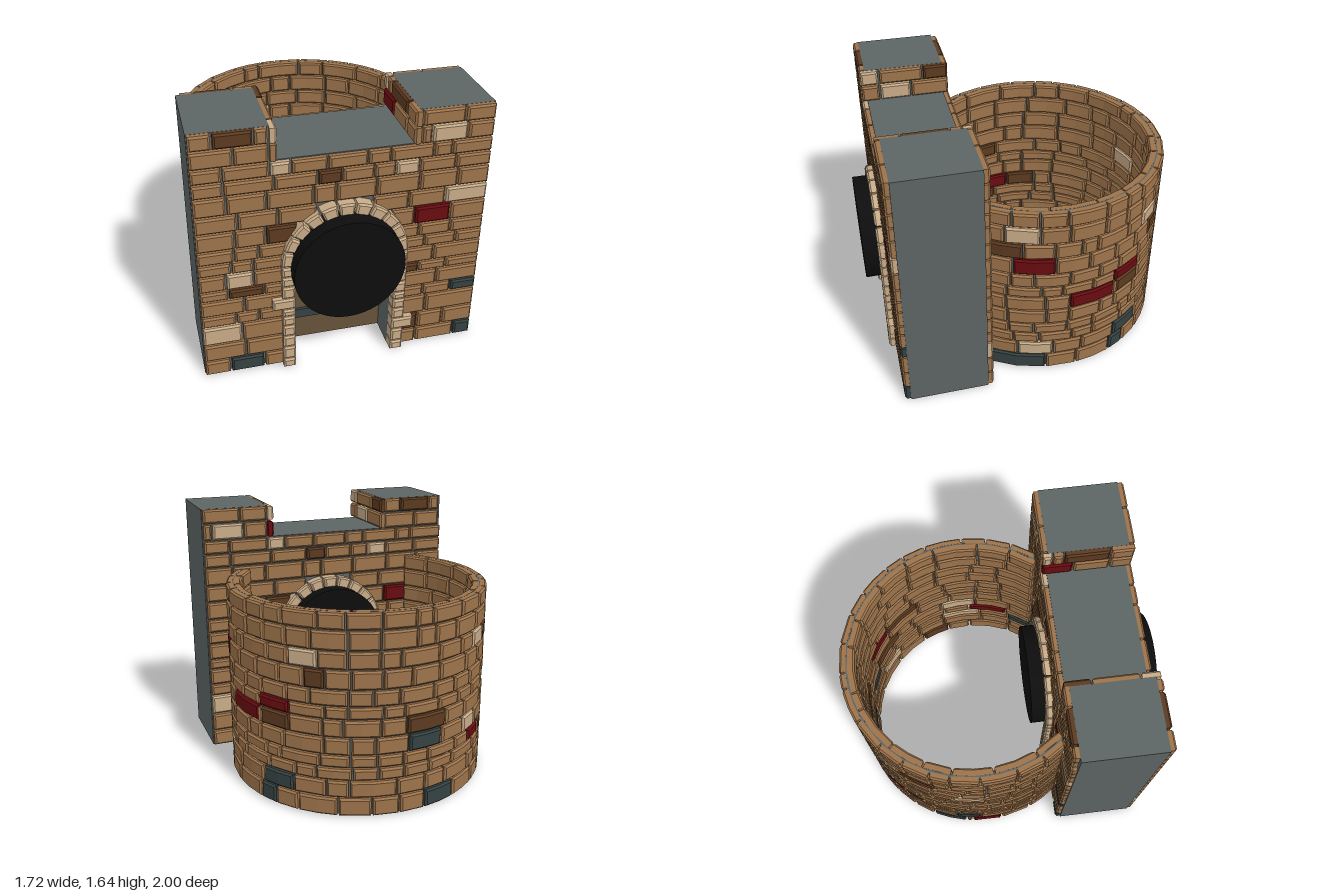
import * as THREE from 'three';
import { mergeGeometries } from 'three/addons/utils/BufferGeometryUtils.js';

const COLORS = {
  tan: 0x9c734b, light: 0xc8ab88, dark: 0x5c3a20, red: 0x690c10, slate: 0x354141,
  mortar: 0x5c6464, door: 0x66533a, black: 0x0d0d0d,
};
const BACK = 0.34, FRONT = 0.835, MID = (BACK + FRONT) / 2;
const ARCH_Y = 0.76, OPEN = 0.305, RING = 0.38, NOTCH = 0.42;
const TOWER_Z = -0.18, RAD = Math.PI / 180;

export function createModel() {
  const model = new THREE.Group();
  model.name = 'gatehouse';
  const mats = {};
  for (const k in COLORS) {
    mats[k] = new THREE.MeshStandardMaterial({ color: COLORS[k] });
    mats[k].name = k;
  }
  let seed = 11;
  const rand = () => (seed = (seed * 16807) % 2147483647) / 2147483647;

  const add = (name, geo, mat, parent = model) => {
    const m = new THREE.Mesh(geo, mats[mat]);
    m.name = name;
    parent.add(m);
    return m;
  };

  // One brick with a bevelled outer (+z) face; place(x, y, z) maps it to its spot
  const brick = (w, h, d, seg, place) => {
    const b = 0.011;
    const g = new THREE.BoxGeometry(w, h, d, seg, 1, 2);
    const p = g.attributes.position;
    for (let i = 0; i < p.count; i++) {
      let x = p.getX(i), y = p.getY(i), z = p.getZ(i);
      if (z > d * 0.4) { x *= 1 - 2 * b / w; y *= 1 - 2 * b / h; }
      else if (z > -d * 0.4) z = d / 2 - b;
      p.setXYZ(i, ...place(x, y, z));
    }
    const flat = g.toNonIndexed();
    flat.computeVertexNormals();
    return flat;
  };

  // Merge bricks into one mesh per colour
  const masonry = (name, list) => {
    const group = new THREE.Group();
    group.name = name;
    for (const k in COLORS) {
      const geos = list.filter(e => e[0] === k).map(e => e[1]);
      if (geos.length) add(`${name} ${k} bricks`, mergeGeometries(geos), k, group);
    }
    model.add(group);
    return group;
  };

  // Divide a course a..b into bricks, keeping the accent bricks [from, to, colour]
  const course = (a, b, accents, size, color = () => 'tan') => {
    const out = [];
    const fill = (s, e) => {
      const n = Math.max(1, Math.round((e - s) / size));
      if (e - s < size * 0.04) return;
      let x = s;
      for (let i = 1; i <= n; i++) {
        const end = i === n ? e : s + (e - s) * (i + (rand() - 0.5) * 0.5) / n;
        out.push([x, end, color()]);
        x = end;
      }
    };
    let x = a;
    accents.filter(c => c[0] < b - 0.01 && c[1] > a + 0.01).sort((p, q) => p[0] - q[0]).forEach(c => {
      const s = Math.max(a, c[0]), e = Math.min(b, c[1]);
      fill(x, s);
      out.push([s, e, c[2]]);
      x = e;
    });
    fill(x, b);
    return out;
  };

  // Gate wall core: notched top, arched passage
  const s = new THREE.Shape();
  s.moveTo(-0.86, 0);
  s.lineTo(-OPEN, 0);
  s.lineTo(-OPEN, ARCH_Y);
  s.absarc(0, ARCH_Y, OPEN, Math.PI, 0, true);
  [[OPEN, 0], [0.86, 0], [0.86, 1.645], [NOTCH, 1.645], [NOTCH, 1.44], [-NOTCH, 1.44],
    [-NOTCH, 1.645], [-0.86, 1.645]].forEach(p => s.lineTo(...p));
  const core = new THREE.ExtrudeGeometry(s, { depth: FRONT - BACK, bevelEnabled: false, curveSegments: 16 });
  add('gate wall core', core.translate(0, 0, BACK), 'mortar');

  // Brick facing of the gate wall
  const rows = [0, 0.11, 0.235, 0.37, 0.45, 0.56, 0.63, 0.74, 0.82, 0.91, 1.03, 1.14, 1.26, 1.35, 1.44, 1.55, 1.65];
  const accents = {
    0: [[-0.7, -0.49, 'slate'], [0.74, 0.86, 'slate']], 1: [[0.38, 0.49, 'dark']],
    2: [[-0.86, -0.62, 'light']], 3: [[0.69, 0.86, 'slate']],
    5: [[-0.69, -0.48, 'dark'], [0.35, 0.47, 'dark']], 6: [[-0.7, -0.54, 'light']],
    9: [[-0.46, -0.27, 'dark'], [0.42, 0.64, 'red']], 10: [[0.6, 0.86, 'light']],
    12: [[-0.16, -0.02, 'dark'], [0.29, 0.43, 'light']], 13: [[-0.43, -0.31, 'light']],
    14: [[0.49, 0.7, 'light']], 15: [[-0.73, -0.51, 'dark']],
  };
  const wallBricks = [], merlonBricks = { [-1]: [], 1: [] };
  const layRow = (list, i, a, b) => {
    const h = rows[i + 1] - rows[i], yc = rows[i] + h / 2;
    for (const [x0, x1, c] of course(a, b, accents[i] || [], 0.13 + h * 0.8))
      list.push([c, brick(x1 - x0 - 0.012, h - 0.012, 0.04, 1,
        (x, y, z) => [x + (x0 + x1) / 2, y + yc, z + FRONT - MID + 0.016])]);
  };
  for (let i = 0; i < 16; i++) {
    if (i > 13) {
      layRow(merlonBricks[-1], i, -0.86, -0.43);
      layRow(merlonBricks[1], i, 0.43, 0.86);
    } else if (i > 10) layRow(wallBricks, i, -0.86, 0.86);
    else {
      const dy = Math.max(0, rows[i] - ARCH_Y);
      const inner = dy ? Math.sqrt(0.315 ** 2 - dy * dy) : 0.33;
      layRow(wallBricks, i, -0.86, -inner);
      layRow(wallBricks, i, inner, 0.86);
    }
  }
  const bothFaces = (group, cx) => {
    group.position.z = MID;
    const back = group.clone();
    back.name = group.name + ' back';
    back.rotation.y = Math.PI;
    back.position.x = 2 * cx;
    model.add(back);
  };
  bothFaces(masonry('wall facing', wallBricks), 0);
  bothFaces(masonry('right merlon facing', merlonBricks[-1]), -0.635);
  bothFaces(masonry('left merlon facing', merlonBricks[1]), 0.645);

  // Bricks lining the sides of the notch
  const lining = [];
  const lineAccents = {
    '-1,14': [[0.55, 0.75, 'light']], '-1,15': [[0.3, 0.47, 'dark'], [0.75, 0.87, 'light']],
    '1,14': [[0.3, 0.5, 'red']], '1,15': [[0.44, 0.72, 'dark'], [0.3, 0.37, 'light']],
  };
  for (const side of [-1, 1]) for (const i of [14, 15]) {
    const h = rows[i + 1] - rows[i], yc = rows[i] + h / 2;
    for (const [z0, z1, c] of course(0.305, 0.87, lineAccents[`${side},${i}`], 0.2))
      lining.push([c, brick(z1 - z0 - 0.012, h - 0.012, 0.04, 1,
        (x, y, z) => [side * (NOTCH - 0.016 - z), y + yc, side * x + (z0 + z1) / 2])]);
  }
  masonry('notch lining', lining);

  // Arch stones and door jambs
  const arch = [], stones = 11, R = (OPEN + RING) / 2, zArch = FRONT - MID + 0.036;
  for (let i = 0; i < stones; i++) {
    const mid = (i + 0.5) * Math.PI / stones - Math.PI / 2;
    arch.push(['light', brick(R * Math.PI / stones - 0.01, RING - OPEN, 0.08, 2, (x, y, z) => {
      const t = mid + x / R;
      return [(R + y) * Math.sin(t), ARCH_Y + (R + y) * Math.cos(t), z + zArch];
    })]);
  }
  const jambs = [0, 0.07, 0.165, 0.25, 0.33, 0.4, 0.455, 0.535, 0.62, 0.69, 0.76];
  for (const side of [-1, 1]) for (let i = 0; i < 10; i++) {
    const wide = i === (side < 0 ? 6 : 2) ? 0.44 : RING;
    arch.push(['light', brick(wide - OPEN, jambs[i + 1] - jambs[i] - 0.008, 0.08, 1,
      (x, y, z) => [side * (wide + OPEN) / 2 + x, y + (jambs[i] + jambs[i + 1]) / 2, z + zArch])]);
  }
  bothFaces(masonry('arch stones', arch), 0);

  // Door with crossbar and ring handle
  const d = new THREE.Shape();
  d.moveTo(-OPEN, 0.005);
  d.lineTo(OPEN, 0.005);
  d.lineTo(OPEN, ARCH_Y);
  d.absarc(0, ARCH_Y, OPEN, 0, Math.PI, false);
  add('door', new THREE.ExtrudeGeometry(d, { depth: 0.05, bevelEnabled: false }).translate(0, 0, 0.6), 'door');
  add('door crossbar', new THREE.BoxGeometry(0.61, 0.065, 0.02), 'slate').position.set(0, 0.208, 0.658);
  add('door ring', new THREE.TorusGeometry(0.035, 0.008, 8, 20), 'slate').position.set(-0.23, 0.495, 0.658);

  // Dark round drum through the archway
  const drum = add('portal drum', new THREE.CylinderGeometry(0.33, 0.33, 0.825, 48), 'black');
  drum.rotation.x = Math.PI / 2;
  drum.position.set(0, 0.745, MID);

  // Round tower: thin mortar shell, open towards the gate
  const a0 = 51 * RAD, a1 = 309 * RAD, shell = new THREE.Shape();
  shell.absarc(0, 0, 0.79, a0, a1, false);
  shell.absarc(0, 0, 0.768, a1, a0, true);
  const shellGeo = new THREE.ExtrudeGeometry(shell, { depth: 1.235, bevelEnabled: false, curveSegments: 28 });
  // Angle is measured from +z towards +x
  shellGeo.rotateX(-Math.PI / 2).rotateY(-Math.PI / 2);
  shellGeo.translate(0, 0.004, TOWER_Z);
  add('tower mortar', shellGeo, 'mortar');

  // Tower courses; accents in degrees
  const tRows = [0, 0.12, 0.23, 0.31, 0.39, 0.5, 0.61, 0.69, 0.79, 0.91, 1.02, 1.14, 1.245];
  const tAccents = {
    0: [[54, 81, 'slate'], [113, 122, 'slate'], [188, 204, 'slate'], [242, 259, 'slate'], [262, 277, 'red']],
    1: [[68, 84, 'light'], [115, 131, 'slate'], [254, 266, 'slate']],
    3: [[215, 227, 'red'], [228, 238, 'dark']],
    4: [[180, 196, 'slate'], [210, 221, 'light']],
    5: [[91, 113, 'red'], [114, 129, 'dark'], [179, 198, 'dark']],
    6: [[113, 129, 'red']], 7: [[254, 268, 'light']],
    8: [[65.5, 84, 'red'], [136, 145, 'dark']],
    9: [[53, 70, 'dark'], [129, 142, 'light'], [216, 228, 'light'], [229, 247, 'dark']],
    10: [[62, 77, 'light']],
  };
  const speckle = () => {
    const r = rand();
    return r < 0.05 ? 'light' : r < 0.09 ? 'dark' : r < 0.115 ? 'red' : r < 0.14 ? 'slate' : 'tan';
  };
  const ring = (name, r0, depth, dir, from, to, size, color, marks) => {
    const list = [];
    for (let i = 0; i < 12; i++) {
      const h = tRows[i + 1] - tRows[i], yc = tRows[i] + h / 2;
      for (const [t0, t1, c] of course(from, to, marks[i] || [], size, color)) {
        const mid = (t0 + t1) / 2 * RAD;
        list.push([c, brick((t1 - t0) * RAD * r0 - 0.011, h - 0.01, depth, Math.ceil((t1 - t0) / 15), (x, y, z) => {
          const t = mid + dir * x / r0, r = r0 + dir * z;
          return [r * Math.sin(t), y + yc, TOWER_Z + r * Math.cos(t)];
        })]);
      }
    }
    masonry(name, list);
  };
  ring('tower outside', 0.8, 0.04, 1, 52, 308, 13, () => 'tan', tAccents);
  ring('tower inside', 0.748, 0.046, -1, 50, 310, 17, speckle, {});

  return model;
}
